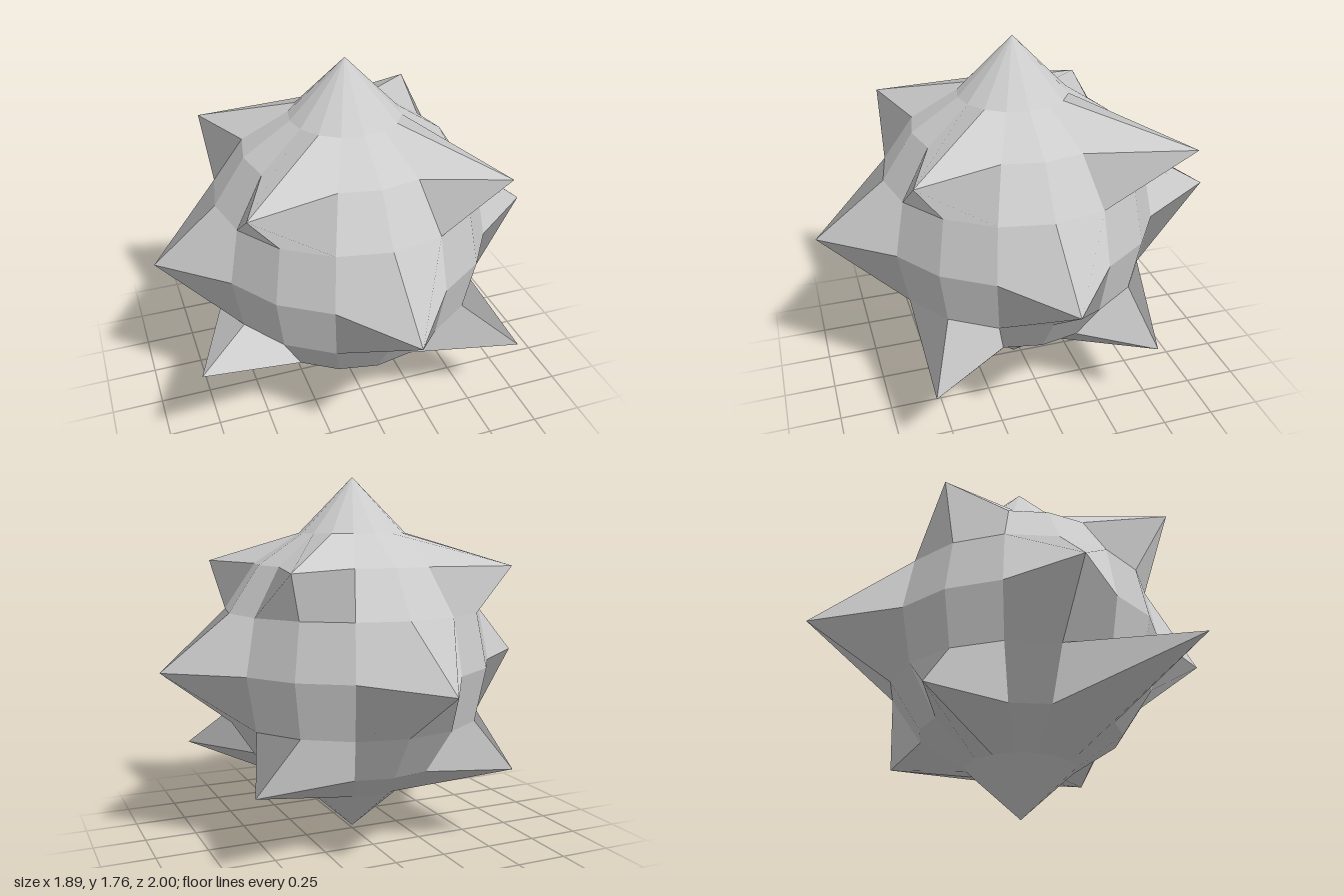
import * as THREE from 'three';

const SEGMENTS = 16, RINGS = 8, RADIUS = 0.68;
const CENTER = new THREE.Vector3(-0.015, 0.865, 0.036);

// Spike tips: 'ring:segment' of the ball vertex that is pulled out, and where it ends
const SPIKES = {
  // upper diagonal spikes
  '2:2': [0.55, 1.346, 0.62], '2:6': [0.55, 1.346, -0.645],
  '2:10': [-0.6, 1.346, -0.48], '2:14': [-0.615, 1.346, 0.582],
  // equator spikes
  '4:0': [-0.015, 0.865, 1], '4:4': [0.945, 0.865, 0.036],
  '4:8': [-0.015, 0.865, -1], '4:12': [-0.948, 0.865, 0.036],
  // lower spikes, one of them dragged up and out
  '6:2': [0.693, 0.384, 0.6], '6:6': [0.66, 0.384, -0.476],
  '6:10': [-0.595, 0.384, -0.54], '6:13': [-0.857, 0.637, 0.608],
};

// Vertex of the ball, rings counted from the top, segments from the front towards +x
function vertex(ring, segment) {
  if (ring === 0) return new THREE.Vector3(CENTER.x, 1.76, CENTER.z);
  if (ring === RINGS) return new THREE.Vector3(CENTER.x, 0, CENTER.z);
  const tip = SPIKES[`${ring}:${segment % SEGMENTS}`];
  if (tip) return new THREE.Vector3(...tip);
  return new THREE.Vector3()
    .setFromSphericalCoords(RADIUS, ring * Math.PI / RINGS, segment * 2 * Math.PI / SEGMENTS)
    .add(CENTER);
}

function spikedBallGeometry() {
  const positions = [], normals = [];
  const isSpike = (ring, segment) => `${ring}:${segment % SEGMENTS}` in SPIKES;

  for (let r = 0; r < RINGS; r++) {
    for (let s = 0; s < SEGMENTS; s++) {
      const a = vertex(r, s), b = vertex(r + 1, s);
      const c = vertex(r + 1, s + 1), d = vertex(r, s + 1);
      // One flat normal per four-sided facet
      const normal = c.clone().sub(a).cross(d.clone().sub(b)).normalize();
      let corners;
      if (r === 0) corners = [a, b, c];
      else if (r === RINGS - 1) corners = [a, b, d];
      // Split facets along the diagonal that starts at the spike tip
      else if (isSpike(r + 1, s) || isSpike(r, s + 1)) corners = [a, b, d, b, c, d];
      else corners = [a, b, c, a, c, d];
      for (const p of corners) {
        positions.push(p.x, p.y, p.z);
        normals.push(normal.x, normal.y, normal.z);
      }
    }
  }
  const geometry = new THREE.BufferGeometry();
  geometry.setAttribute('position', new THREE.Float32BufferAttribute(positions, 3));
  geometry.setAttribute('normal', new THREE.Float32BufferAttribute(normals, 3));
  return geometry;
}

export function createModel() {
  const model = new THREE.Group();
  model.name = 'spikedBall';
  const ball = new THREE.Mesh(
    spikedBallGeometry(),
    new THREE.MeshStandardMaterial({ color: 0xcccccc }),
  );
  ball.name = 'ballWithSpikes';
  model.add(ball);
  return model;
}
